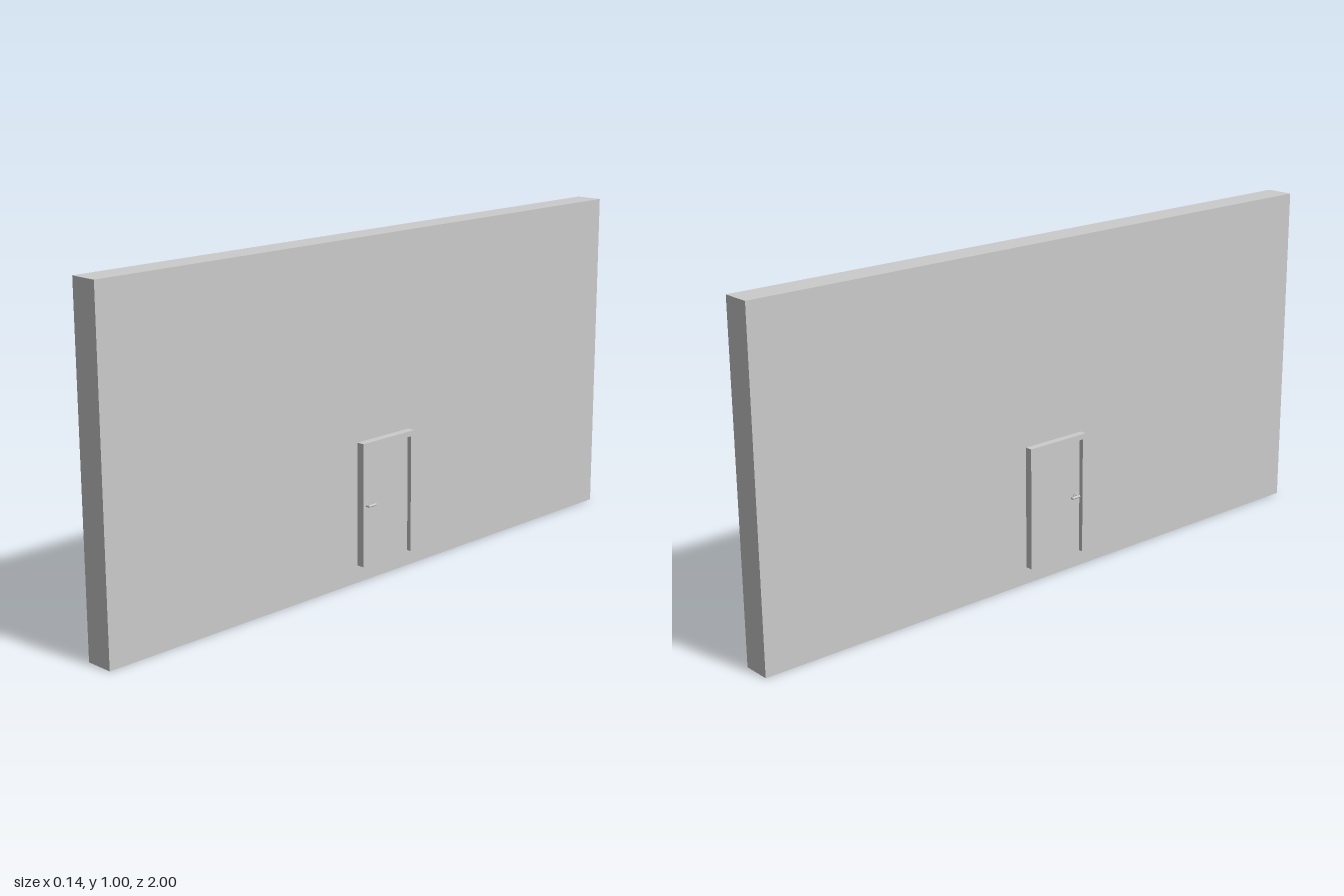
import * as THREE from 'three';

const material = new THREE.MeshStandardMaterial({ color: 0xcccccc });

export function createModel() {
  const model = new THREE.Group();
  const add = (name, geometry, x, y, z, parent = model) => {
    const mesh = new THREE.Mesh(geometry, material);
    mesh.name = name;
    mesh.position.set(x, y, z);
    parent.add(mesh);
    return mesh;
  };

  // Long wall
  add('wall', new THREE.BoxGeometry(0.085, 1, 2), -0.0025, 0.5, 0);

  // Three-sided frame running through the wall
  const outline = [
    [-0.105, 0.052], [-0.092, 0.052], [-0.092, 0.402], [0.095, 0.402],
    [0.095, 0.052], [0.106, 0.052], [0.106, 0.418], [-0.105, 0.418],
  ];
  const shape = new THREE.Shape(outline.map(([z, y]) => new THREE.Vector2(-z, y)));
  const frame = new THREE.ExtrudeGeometry(shape, { depth: 0.131, bevelEnabled: false });
  frame.rotateY(Math.PI / 2);
  add('doorFrame', frame, -0.067, 0, 0);

  // Door leaf, slightly proud of the wall on both faces
  add('door', new THREE.BoxGeometry(0.104, 0.35, 0.187), -0.0015, 0.227, 0.0015);

  // Lever handle on each face
  for (const side of [1, -1]) {
    const handle = new THREE.Group();
    handle.name = side > 0 ? 'leftHandle' : 'rightHandle';
    handle.position.set(-0.0015, 0.229, 0.081);
    model.add(handle);
    const disc = (r, length) => new THREE.CylinderGeometry(r, r, length, 20).rotateZ(Math.PI / 2);
    add('rosette', disc(0.010, 0.004), side * 0.053, 0, 0, handle);
    add('spindle', disc(0.004, 0.016), side * 0.059, 0, 0, handle);
    const lever = new THREE.CylinderGeometry(0.0035, 0.0035, 0.03, 16).rotateX(Math.PI / 2);
    add('lever', lever, side * 0.0645, 0, -0.012, handle);
  }
  return model;
}
